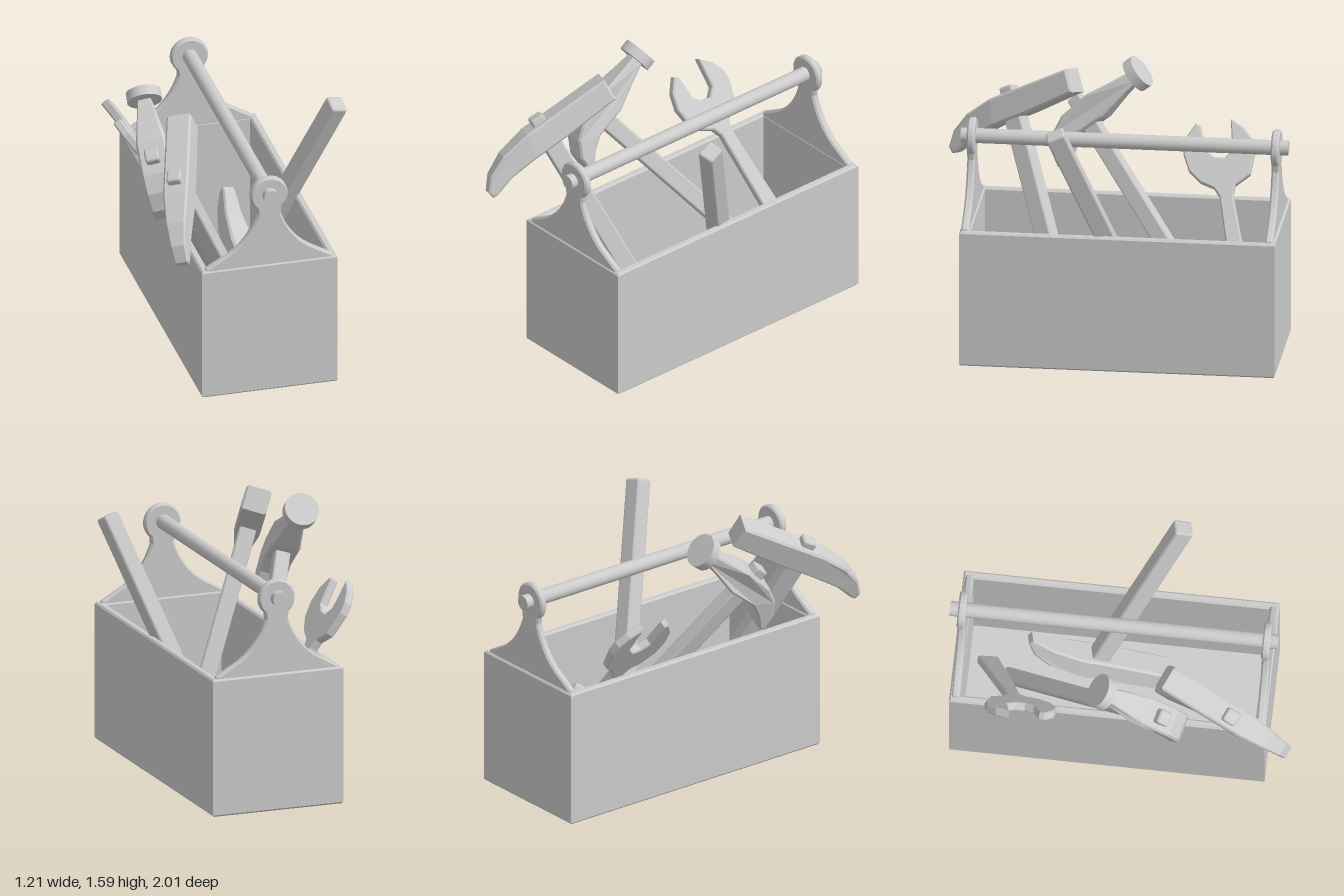
import * as THREE from 'three';
import { RoundedBoxGeometry } from 'three/addons/geometries/RoundedBoxGeometry.js';

const grey = new THREE.MeshStandardMaterial({ color: 0xcccccc });

function add(parent, name, geometry, x = 0, y = 0, z = 0) {
  const mesh = new THREE.Mesh(geometry, grey);
  mesh.name = name;
  mesh.position.set(x, y, z);
  parent.add(mesh);
  return mesh;
}

const polygon = (pts) => new THREE.Shape(pts.map(([x, y]) => new THREE.Vector2(x, y)));

// Extrusion of total thickness `depth`, centred on z = 0, with a small chamfer
function slab(shape, depth, bevel, curveSegments = 12) {
  const geo = new THREE.ExtrudeGeometry(shape, {
    depth: depth - 2 * bevel, bevelEnabled: true, bevelSegments: 1,
    bevelSize: bevel, bevelThickness: bevel, bevelOffset: -bevel, curveSegments,
  });
  return geo.translate(0, 0, bevel - depth / 2);
}

// Group at `origin`, local y along `up` and local z close to `forward`
function placed(parent, name, origin, up, forward) {
  const y = new THREE.Vector3(...up).normalize();
  const x = new THREE.Vector3().crossVectors(y, new THREE.Vector3(...forward)).normalize();
  const z = new THREE.Vector3().crossVectors(x, y);
  const group = new THREE.Group();
  group.name = name;
  group.quaternion.setFromRotationMatrix(new THREE.Matrix4().makeBasis(x, y, z));
  group.position.set(...origin);
  parent.add(group);
  return group;
}

// Head profile given as [z, y], extruded sideways, its width scaled along z
function headGeometry(profile, width, scaleAt) {
  const geo = slab(polygon(profile), width, 0.012).rotateY(-Math.PI / 2);
  const pos = geo.attributes.position;
  for (let i = 0; i < pos.count; i++) pos.setX(i, pos.getX(i) * scaleAt(pos.getZ(i)));
  geo.computeVertexNormals();
  return geo;
}

// Wooden handle hanging below the head, its end showing as a peg on top
function addHandle(tool, length, width, depth) {
  add(tool, 'handle', new RoundedBoxGeometry(width, length, depth, 1, 0.014), 0, -length / 2 - 0.02, 0);
  add(tool, 'handlePeg', new RoundedBoxGeometry(0.085, 0.16, 0.085, 1, 0.014), 0, -0.02, 0);
}

function addPickHammer(parent, origin, up, forward, length) {
  const tool = placed(parent, 'pickHammer', origin, up, forward);
  const profile = [
    [-0.44, -0.1], [-0.1, -0.13], [0.12, -0.14], [0.3, -0.165], [0.42, -0.21], [0.45, -0.21],
    [0.46, -0.17], [0.4, -0.09], [0.28, -0.025], [0.1, 0.015], [-0.44, 0.04],
  ];
  const taper = (z) => 1 - 0.5 * THREE.MathUtils.smoothstep(z, 0.1, 0.5);
  add(tool, 'pickHead', headGeometry(profile, 0.15, taper));
  addHandle(tool, length, 0.1, 0.11);
}

function addClawHammer(parent) {
  const tool = placed(parent, 'clawHammer', [-0.52, 1.27, 0.26], [-0.362, 0.741, 0.566], [-0.05, -0.62, 0.78]);
  const profile = [
    [-0.38, -0.08], [-0.27, -0.1], [-0.1, -0.14], [0.09, -0.14], [0.18, -0.18], [0.25, -0.24],
    [0.285, -0.23], [0.27, -0.14], [0.2, -0.05], [0.1, 0.0], [-0.1, 0.02], [-0.27, 0.0], [-0.38, -0.01],
  ];
  const taper = (z) => 0.45 + 0.55 * THREE.MathUtils.clamp((z + 0.38) / 0.28, 0, 1);
  add(tool, 'clawHead', headGeometry(profile, 0.17, taper));
  add(tool, 'strikingFace', new THREE.CylinderGeometry(0.1, 0.1, 0.06, 32).rotateX(Math.PI / 2), 0, -0.04, -0.4);
  addHandle(tool, 1.62, 0.09, 0.1);
}

function addWrench(parent) {
  const tool = placed(parent, 'wrench', [-0.46, 1.02, -0.55], [-0.531, 0.819, 0.218], [0.84, 0.54, 0]);
  // The jaws open along local y, the handle runs down
  const outline = [
    [0.175, 0.136], [0.107, 0.207], [0.081, 0.19], [0.073, 0.04], [0.03, -0.005], [-0.026, -0.02],
    [-0.076, 0.02], [-0.095, 0.2], [-0.163, 0.134], [-0.2, 0.06], [-0.203, -0.01], [-0.153, -0.143],
    [-0.061, -0.19], [-0.04, -0.24], [-0.06, -1.14], [0.06, -1.14], [0.04, -0.24], [0.065, -0.185],
    [0.134, -0.14], [0.19, -0.06], [0.205, 0.04],
  ];
  // Local x must follow +z of the model for the asymmetric jaws
  const x = new THREE.Vector3(0.119, -0.183, 0.975).normalize();
  const y = new THREE.Vector3(-0.531, 0.819, 0.218).normalize();
  const z = new THREE.Vector3().crossVectors(x, y).normalize();
  tool.quaternion.setFromRotationMatrix(new THREE.Matrix4().makeBasis(x, y, z));
  add(tool, 'wrenchBody', slab(polygon(outline.slice().reverse()), 0.05, 0.008));
}

function addBox(parent) {
  const rect = (w, d) => [[-w, -d], [w, -d], [w, d], [-w, d]];
  const walls = polygon(rect(0.4, 0.905));
  walls.holes.push(new THREE.Path(rect(0.355, 0.845).reverse().map(([x, y]) => new THREE.Vector2(x, y))));
  add(parent, 'walls', slab(walls, 0.81, 0.01).rotateX(-Math.PI / 2), 0.01, 0.405, -0.06);
  add(parent, 'floor', new THREE.BoxGeometry(0.78, 0.03, 1.79), 0.01, 0.0155, -0.06);
}

function addCarrier(parent) {
  // Flared end plate rising through a neck to a round eye
  const eyeY = 1.25, r = 0.11, a = -0.85;
  const s = new THREE.Shape();
  s.moveTo(-0.38, 0.79);
  s.lineTo(0.38, 0.79);
  s.lineTo(0.37, 0.82);
  s.lineTo(0.24, 0.895);
  s.bezierCurveTo(0.14, 0.96, 0.09, 1.06, 0.068, 1.13);
  s.lineTo(r * Math.cos(a), eyeY + r * Math.sin(a));
  s.absarc(0, eyeY, r, a, Math.PI - a, false);
  s.lineTo(-0.068, 1.13);
  s.bezierCurveTo(-0.09, 1.06, -0.14, 0.96, -0.24, 0.895);
  s.lineTo(-0.37, 0.82);
  s.closePath();
  for (const [name, z] of [['frontPlate', 0.815], ['backPlate', -0.93]]) {
    add(parent, name, slab(s, 0.045, 0.01, 16), 0.01, 0, z);
  }
  const rod = new THREE.CylinderGeometry(0.043, 0.043, 1.88, 24).rotateX(Math.PI / 2);
  add(parent, 'carryRod', rod, 0.01, 1.255, -0.06);
}

export function createModel() {
  const model = new THREE.Group();
  model.name = 'toolbox';
  addBox(model);
  addCarrier(model);
  addPickHammer(model, [-0.49, 1.32, 0.655], [-0.403, 0.866, 0.297], [-0.286, -0.428, 0.857], 1.43);
  // Second pick hammer stands head down in the box
  addPickHammer(model, [0.12, 0.22, -0.2], [-0.31, -0.888, -0.337], [-0.107, 0.382, -0.918], 1.4);
  addClawHammer(model);
  addWrench(model);
  return model;
}
